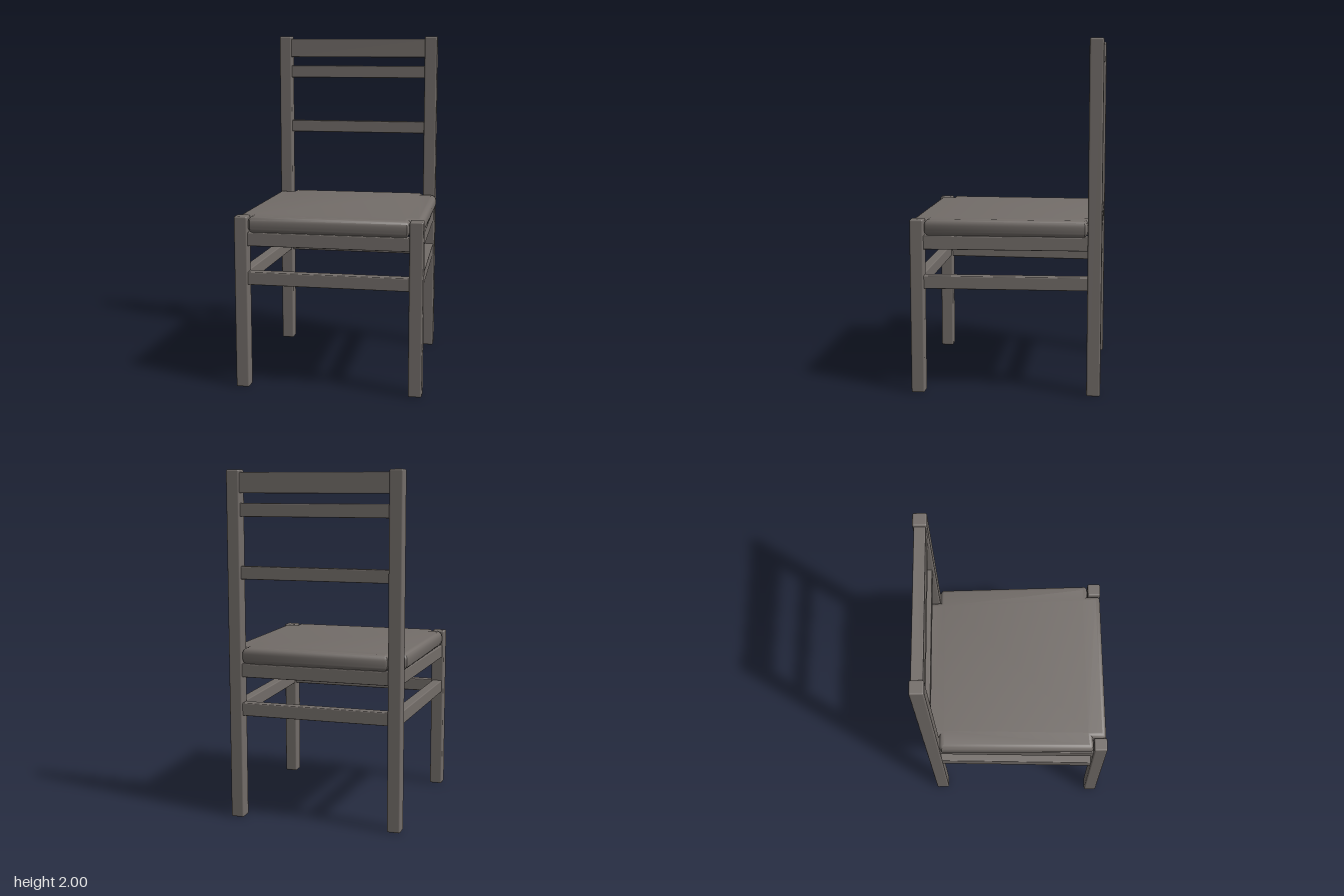
import * as THREE from 'three';
import { RoundedBoxGeometry } from 'three/addons/geometries/RoundedBoxGeometry.js';
import { toCreasedNormals } from 'three/addons/utils/BufferGeometryUtils.js';

const LEG = 0.078; // leg width
const FRONT = { x: 0.498, z: 0.497 };
const BACK = { x: 0.468, z: -0.499 };

export function createModel() {
  const chair = new THREE.Group();
  chair.name = 'chair';
  const wood = new THREE.MeshStandardMaterial({ color: 0x736d69 });
  wood.name = 'greyBrownWood';

  const add = (name, geometry, x = 0, y = 0, z = 0) => {
    const mesh = new THREE.Mesh(geometry, wood);
    mesh.name = name;
    mesh.position.set(x, y, z);
    chair.add(mesh);
    return mesh;
  };

  // Bar running between two points at floor plan level, from y0 to y1
  const rail = (name, a, b, y0, y1, depth = 0.06) => {
    const dx = b.x - a.x, dz = b.z - a.z;
    const length = Math.hypot(dx, dz) - LEG + 0.02;
    const bar = add(name, new RoundedBoxGeometry(length, y1 - y0, depth, 2, 0.006),
      (a.x + b.x) / 2, (y0 + y1) / 2, (a.z + b.z) / 2);
    bar.rotation.y = Math.atan2(-dz, dx);
  };

  const mirror = (p) => ({ x: -p.x, z: p.z });

  // Legs; the back ones continue up as the backrest posts
  for (const [side, s] of [['left', 1], ['right', -1]]) {
    add(side + 'FrontLeg', new RoundedBoxGeometry(LEG, 1, LEG, 2, 0.01), s * FRONT.x, 0.5, FRONT.z);
    add(side + 'BackPost', new RoundedBoxGeometry(LEG, 2, LEG, 2, 0.01), s * BACK.x, 1, BACK.z);
  }

  // Seat aprons and lower stretchers on all four sides
  for (const [part, y0, y1] of [['Apron', 0.83, 0.908], ['Stretcher', 0.605, 0.68]]) {
    rail('front' + part, mirror(FRONT), FRONT, y0, y1);
    rail('back' + part, mirror(BACK), BACK, y0, y1);
    rail('left' + part, BACK, FRONT, y0, y1);
    rail('right' + part, mirror(BACK), mirror(FRONT), y0, y1);
  }

  // Backrest slats
  rail('topSlat', mirror(BACK), BACK, 1.87, 1.985, 0.064);
  rail('upperSlat', mirror(BACK), BACK, 1.74, 1.815, 0.05);
  rail('lowerSlat', mirror(BACK), BACK, 1.39, 1.463, 0.05);

  // Cushioned seat, tapered to the back and notched around the legs
  const half = [[0.445, 0.533], [0.457, 0.52], [0.457, 0.455], [0.518, 0.455], [0.528, 0.44],
    [0.515, -0.445], [0.495, -0.46], [0.43, -0.46], [0.425, -0.53], [0.41, -0.538]];
  const outline = [...half, ...half.map(([x, z]) => [-x, z]).reverse()];
  const shape = new THREE.Shape(outline.map(([x, z]) => new THREE.Vector2(x, -z)));
  const bevel = 0.035;
  const seat = new THREE.ExtrudeGeometry(shape, {
    depth: 0.095 - 2 * bevel, bevelEnabled: true, bevelThickness: bevel,
    bevelSize: 0.03, bevelOffset: -0.03, bevelSegments: 6,
  });
  seat.rotateX(-Math.PI / 2);
  add('seatCushion', toCreasedNormals(seat, 0.7), 0, 0.905 + bevel, 0);

  return chair;
}
